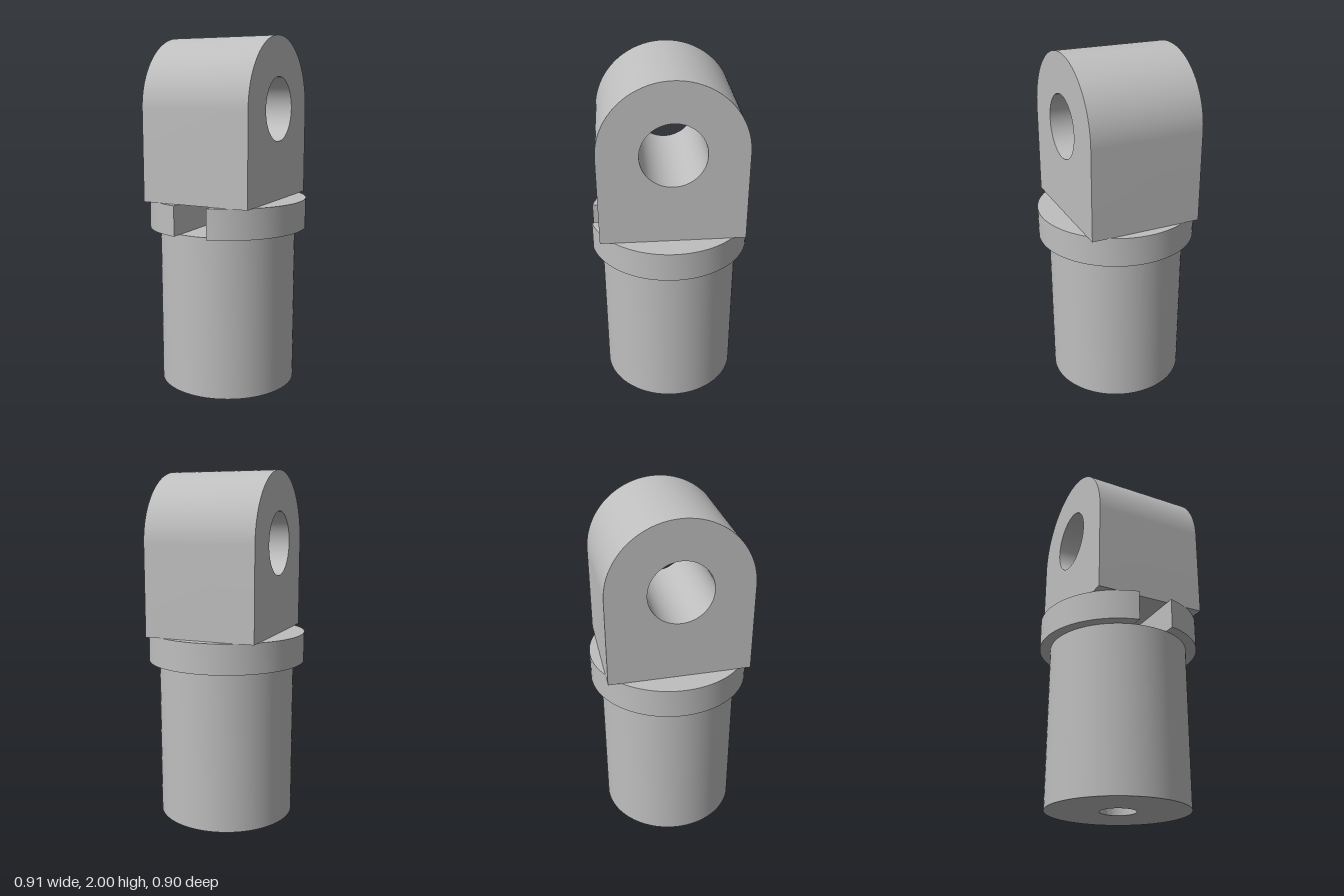
import * as THREE from 'three';
import { toCreasedNormals } from 'three/addons/utils/BufferGeometryUtils.js';

const SHAFT_R = 0.395, COLLAR_R = 0.456, BORE_R = 0.1;
const COLLAR_Y = 0.92, LUG_Y = 1.09, LUG_TOP = 2;
const LUG_R = 0.4, LUG_HALF = 0.32, PIN_R = 0.178;

const steel = new THREE.MeshStandardMaterial({ color: 0xbfbfbf });
steel.name = 'steel grey';

// Extrude a profile with sharp edges and smooth curved walls
function extrude(shape, depth) {
  const geo = new THREE.ExtrudeGeometry(shape, { depth, bevelEnabled: false, curveSegments: 40 });
  return toCreasedNormals(geo, Math.PI / 6);
}

function circle(Type, x, y, r) {
  const c = new Type();
  c.absarc(x, y, r, 0, Math.PI * 2, false);
  return c;
}

export function createModel() {
  const group = new THREE.Group();
  group.name = 'pivotLug';

  function add(name, geo) {
    const mesh = new THREE.Mesh(geo, steel);
    mesh.name = name;
    mesh.position.z = 0.005;
    group.add(mesh);
  }

  // Round shaft with a central bore
  const shaft = circle(THREE.Shape, 0, 0, SHAFT_R);
  shaft.holes.push(circle(THREE.Path, 0, 0, BORE_R));
  add('shaft', extrude(shaft, COLLAR_Y).rotateX(-Math.PI / 2));

  // Collar with a round-ended slot running from the bore out to the front
  const a = Math.asin(BORE_R / COLLAR_R);
  const collar = new THREE.Shape();
  collar.absarc(0, 0, COLLAR_R, -Math.PI / 2 + a, Math.PI * 1.5 - a, false);
  collar.lineTo(-BORE_R, 0);
  collar.absarc(0, 0, BORE_R, Math.PI, 0, true);
  collar.closePath();
  add('collar', extrude(collar, LUG_Y - COLLAR_Y).rotateX(-Math.PI / 2).translate(0, COLLAR_Y, 0));

  // Round-topped lug with a cross hole for the pin
  const pinY = LUG_TOP - LUG_R;
  const lug = new THREE.Shape();
  lug.moveTo(-LUG_R, LUG_Y);
  lug.lineTo(LUG_R, LUG_Y);
  lug.absarc(0, pinY, LUG_R, 0, Math.PI, false);
  lug.closePath();
  lug.holes.push(circle(THREE.Path, 0, pinY, PIN_R));
  add('lug', extrude(lug, LUG_HALF * 2).translate(0, 0, -LUG_HALF).rotateY(Math.PI / 2));

  return group;
}
